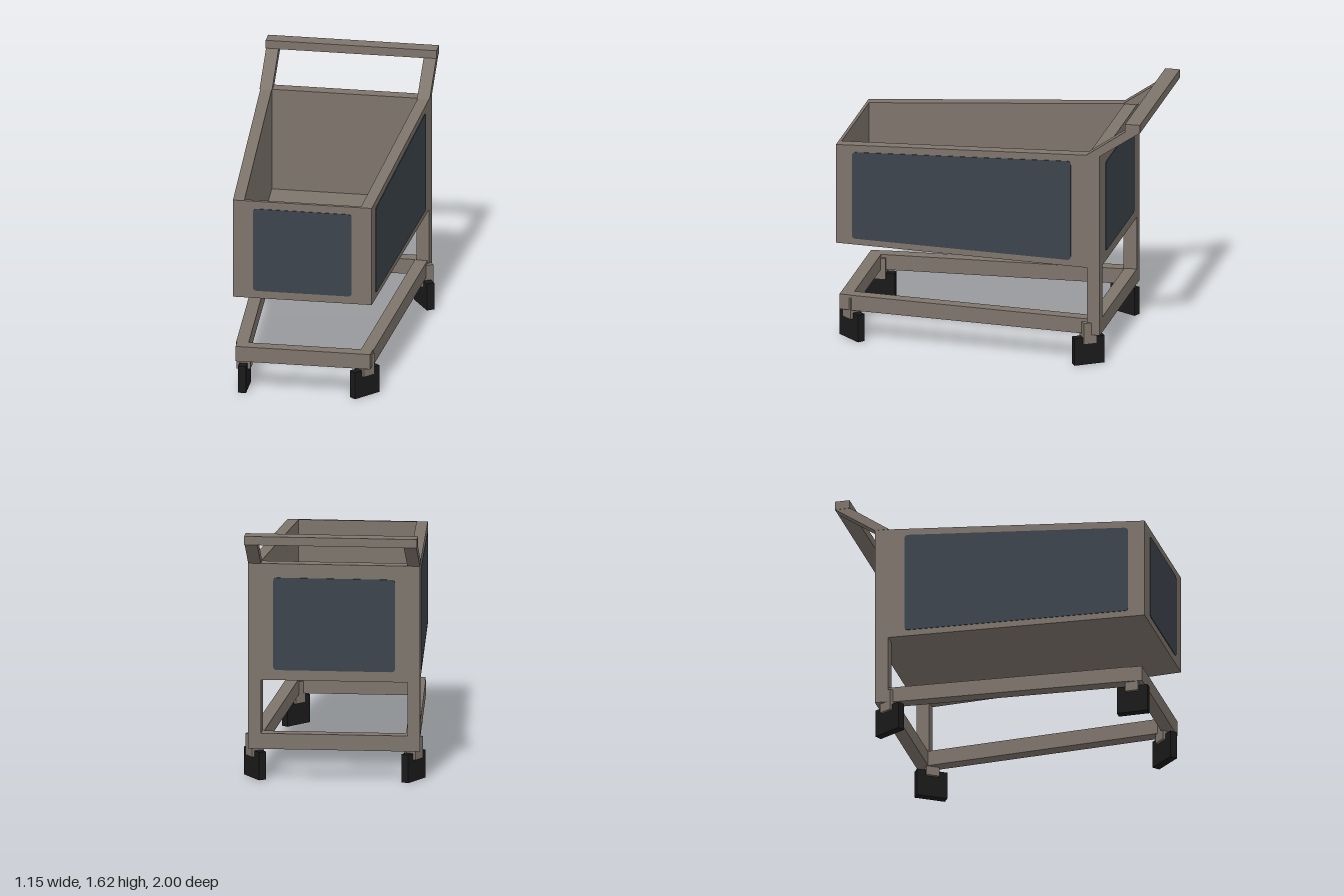
import * as THREE from 'three';

const CX = -0.013;            // centre line of the cart
const ZB = -0.74, ZF = 0.99;  // back and front of the basket
const halfWidth = z => 0.5425 - 0.1 * (z - ZB) / (ZF - ZB);
const rimY = z => Math.min(1.395, 1.3 + 0.0576 * (ZF - z));

export function createModel() {
  const cart = new THREE.Group();
  cart.name = 'cart';
  const frameMat = new THREE.MeshStandardMaterial({ color: 0x7e756c });
  frameMat.name = 'frame taupe';
  const panelMat = new THREE.MeshStandardMaterial({ color: 0x3d444d });
  panelMat.name = 'panel slate';
  const wheelMat = new THREE.MeshStandardMaterial({ color: 0x1a1a1a });
  wheelMat.name = 'wheel black';

  const add = (name, geo, mat, parent = cart) => {
    const mesh = new THREE.Mesh(geo, mat);
    mesh.name = name;
    parent.add(mesh);
    return mesh;
  };

  // Moves every vertex by a rule and refreshes the flat normals
  const warp = (geo, rule) => {
    const p = geo.attributes.position;
    for (let i = 0; i < p.count; i++) p.setXYZ(i, ...rule(p.getX(i), p.getY(i), p.getZ(i)));
    geo.computeVertexNormals();
    return geo;
  };
  // Block between z0 and z1 whose x and y limits are functions of z
  const block = (z0, z1, xLo, xHi, yLo, yHi) =>
    warp(new THREE.BoxGeometry(1, 1, 1), (u, v, w) => {
      const z = z0 + (z1 - z0) * (w + 0.5);
      const lo = xLo(z), hi = xHi(z), b = yLo(z), t = yHi(z);
      return [CX + lo + (hi - lo) * (u + 0.5), b + (t - b) * (v + 0.5), z];
    });
  const k = c => () => c;
  // Full-width block and edge strip, both following the taper
  const across = (z0, z1, y0, y1, inset = 0) =>
    block(z0, z1, z => inset - halfWidth(z), z => halfWidth(z) - inset, k(y0), y1);
  const strip = (s, z0, z1, t, y0, y1, inset = 0) => {
    const a = z => halfWidth(z) - inset - t, b = z => halfWidth(z) - inset;
    return s > 0 ? block(z0, z1, a, b, k(y0), y1)
      : block(z0, z1, z => -b(z), z => -a(z), k(y0), y1);
  };

  // Basket
  add('basketFloor', across(-0.66, 0.97, 0.645, k(0.72), 0.07), frameMat);
  add('basketFront', across(0.97, ZF, 0.645, rimY), frameMat);
  add('basketBack', across(ZB, -0.66, 0.645, rimY), frameMat);

  for (const s of [1, -1]) {
    const side = s > 0 ? 'left' : 'right';
    add(side + 'BasketWall', strip(s, -0.66, 0.97, 0.072, 0.645, rimY), frameMat);
    add(side + 'Leg', strip(s, ZB, -0.655, 0.08, 0.2, k(0.645)), frameMat);
    add(side + 'LowerRail', strip(s, -0.66, 0.89, 0.08, 0.2, k(0.3), 0.01), frameMat);
    // Sloping handle arm
    add(side + 'HandleArm', warp(new THREE.BoxGeometry(0.08, 1, 1), (x, v, w) => {
      const t = v + 0.5, f = w + 0.5;
      const z = THREE.MathUtils.lerp(-0.74 + 0.09 * f, -1 + 0.095 * f, t);
      return [CX + s * 0.5025 + x, 1.395 + 0.177 * t, z];
    }), frameMat);
  }

  // Lower frame crossbars and handle bar
  add('lowerFrontBar', across(0.89, 0.97, 0.2, k(0.3), 0.015), frameMat);
  add('lowerBackBar', across(ZB, -0.66, 0.2, k(0.3), 0.005), frameMat);
  add('handleBar', block(-1, -0.905, k(-0.545), k(0.545), k(1.57), k(1.625)), frameMat);

  // Thin plate with rounded corners, from corner points in order
  const plate = corners => {
    const pts = corners.map(c => new THREE.Vector2(...c));
    const shape = new THREE.Shape();
    pts.forEach((p, i) => {
      const toward = q => p.clone().add(q.clone().sub(p).setLength(0.025));
      const a = toward(pts[(i + 3) % 4]), b = toward(pts[(i + 1) % 4]);
      if (i) shape.lineTo(a.x, a.y); else shape.moveTo(a.x, a.y);
      shape.quadraticCurveTo(p.x, p.y, b.x, b.y);
    });
    shape.closePath();
    return new THREE.ExtrudeGeometry(shape, { depth: 0.004, bevelEnabled: false, curveSegments: 4 });
  };
  const rect = (w, y0, y1) => plate([[-w, y0], [w, y0], [w, y1], [-w, y1]]);

  // Dark panels on all four walls
  add('frontPanel', rect(0.315, 0.695, 1.25), panelMat).position.set(CX, 0, ZF);
  const back = add('backPanel', rect(0.385, 0.71, 1.305), panelMat);
  back.position.set(CX, 0, ZB);
  back.rotation.y = Math.PI;
  const sideOutline = [[-0.885, 0.685], [0.55, 0.685], [0.55, 1.345], [-0.885, 1.26]];
  add('leftPanel', warp(plate(sideOutline),
    (u, y, d) => [CX + halfWidth(-u) + d, y, -u]), panelMat);
  const mirrored = sideOutline.map(([u, y]) => [-u, y]).reverse();
  add('rightPanel', warp(plate(mirrored),
    (u, y, d) => [CX - halfWidth(u) - d, y, u]), panelMat);

  // Swivelling casters: name, x, z, turn in degrees
  const casters = [
    ['frontLeftCaster', 0.37, 0.9, -41],
    ['frontRightCaster', -0.396, 0.9, 0],
    ['backLeftCaster', 0.494, -0.657, 33],
    ['backRightCaster', -0.507, -0.657, -28],
  ];
  for (const [name, x, z, turn] of casters) {
    const caster = new THREE.Group();
    caster.name = name;
    caster.position.set(x, 0, z);
    caster.rotation.y = THREE.MathUtils.degToRad(turn);
    add('wheel', new THREE.BoxGeometry(0.05, 0.18, 0.2), wheelMat, caster).position.y = 0.09;
    add('bracket', new THREE.BoxGeometry(0.087, 0.14, 0.085), frameMat, caster).position.y = 0.21;
    cart.add(caster);
  }
  return cart;
}
